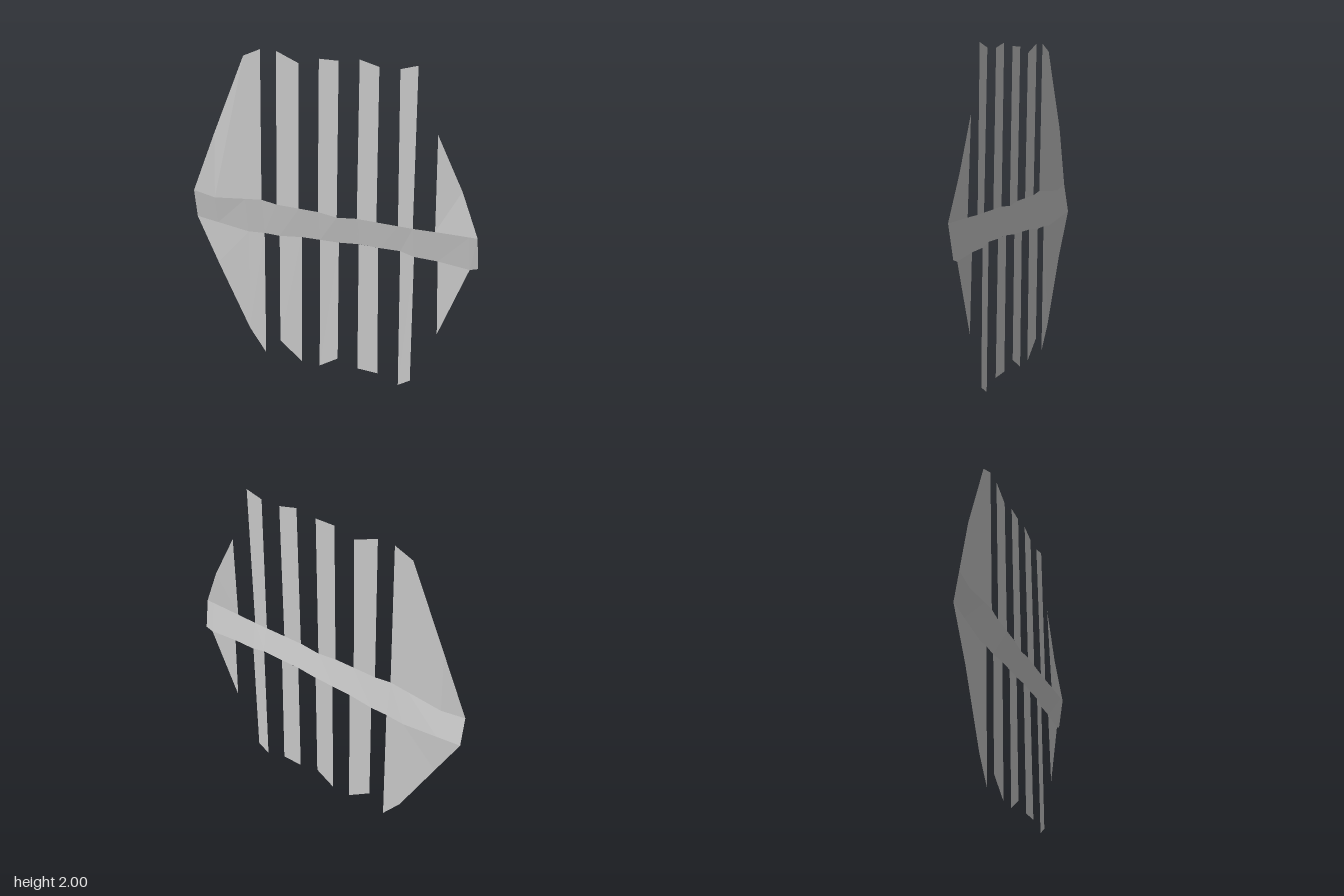
import * as THREE from 'three';

const material = new THREE.MeshStandardMaterial({ color: 0xcccccc, flatShading: true, side: THREE.DoubleSide });

// Edges of the cross band as [x, y]
const bandTop = [[-0.97, 1.045], [-0.81, 1.02], [-0.46, 1.06], [-0.35, 1.045], [-0.06, 1.045], [0.07, 1.03],
  [0.2, 1.045], [0.57, 1.045], [0.71, 1.05], [0.97, 1.055]];
const bandBottom = [[-0.97, 0.86], [-0.58, 0.82], [-0.46, 0.83], [-0.35, 0.83], [-0.19, 0.85], [0.07, 0.86],
  [0.21, 0.875], [0.35, 0.875], [0.48, 0.88], [0.57, 0.86], [0.72, 0.86], [0.92, 0.845], [0.97, 0.86]];

// Height of an edge at x
function heightAt(edge, x) {
  const i = Math.max(1, edge.findIndex(p => p[0] >= x));
  const [a, b] = [edge[i - 1], edge[i]];
  return THREE.MathUtils.mapLinear(x, a[0], b[0], a[1], b[1]);
}

// The whole sheet is turned slightly; the band leans forward at its top
const turn = x => -0.0075 * x;
const topPoint = x => new THREE.Vector3(x, heightAt(bandTop, x), 0.013 + turn(x));
const bottomPoint = x => new THREE.Vector3(x, heightAt(bandBottom, x), -0.016 + turn(x));

// Sheet between two rows of points, lower row first
function sheet(name, lower, upper) {
  const points = [];
  const triangle = (a, b, c) => {
    if (new THREE.Triangle(a, b, c).getArea() > 1e-7) points.push(a, b, c);
  };
  for (let i = 0; i < lower.length - 1; i++) {
    triangle(lower[i], lower[i + 1], upper[i + 1]);
    triangle(lower[i], upper[i + 1], upper[i]);
  }
  const geometry = new THREE.BufferGeometry().setFromPoints(points);
  geometry.computeVertexNormals();
  const mesh = new THREE.Mesh(geometry, material);
  mesh.name = name;
  return mesh;
}

// Panel standing on or hanging from the band; columns are [baseX, tipX, tipY], or [x] where it tapers to nothing
function panel(name, columns, up, tipZ = -0.005) {
  const base = columns.map(c => (up ? topPoint : bottomPoint)(c[0]));
  const tips = columns.map((c, i) => c.length === 1 ? base[i].clone() : new THREE.Vector3(c[1], c[2], tipZ + turn(c[1])));
  return up ? sheet(name, base, tips) : sheet(name, tips, base);
}

export function createModel() {
  const group = new THREE.Group();
  group.name = 'slattedSheet';

  // Cross band
  const xs = [...new Set([...bandTop, ...bandBottom].map(p => p[0]))].sort((a, b) => a - b);
  group.add(sheet('crossBand', xs.map(bottomPoint), xs.map(topPoint)));

  // Slats above and below the band
  const upperSlats = [
    [[-0.35, -0.35, 2], [-0.195, -0.195, 1.94]],
    [[-0.06, -0.06, 1.98], [0.07, 0.07, 1.98]],
    [[0.205, 0.205, 2], [0.335, 0.33, 1.97]],
    [[0.475, 0.46, 1.97], [0.57, 0.57, 2]],
  ];
  const lowerSlats = [
    [[-0.35, -0.35, 0.11], [-0.19, -0.19, 0]],
    [[-0.06, -0.06, 0], [0.07, 0.07, 0.08]],
    [[0.205, 0.21, 0.045], [0.335, 0.35, 0.045]],
    [[0.48, 0.49, 0], [0.57, 0.57, 0.05]],
  ];
  upperSlats.forEach((s, i) => group.add(panel(`upperSlat${i + 1}`, s, true)));
  lowerSlats.forEach((s, i) => group.add(panel(`lowerSlat${i + 1}`, s, false)));

  // Wide fin at the right end
  group.add(panel('upperWideFin', [[-0.97], [-0.81, -0.81, 1.44], [-0.58, -0.58, 1.95], [-0.46, -0.46, 2]], true));
  group.add(panel('lowerWideFin', [[-0.97], [-0.81, -0.81, 0.57], [-0.58, -0.58, 0.15], [-0.46, -0.46, 0]], false));

  // Narrow fin at the left end
  group.add(panel('upperNarrowFin', [[0.71, 0.7, 1.62], [0.86, 0.86, 1.31], [0.97]], true, -0.007));
  group.add(panel('lowerNarrowFin', [[0.72, 0.735, 0.4], [0.92]], false, -0.007));

  return group;
}
